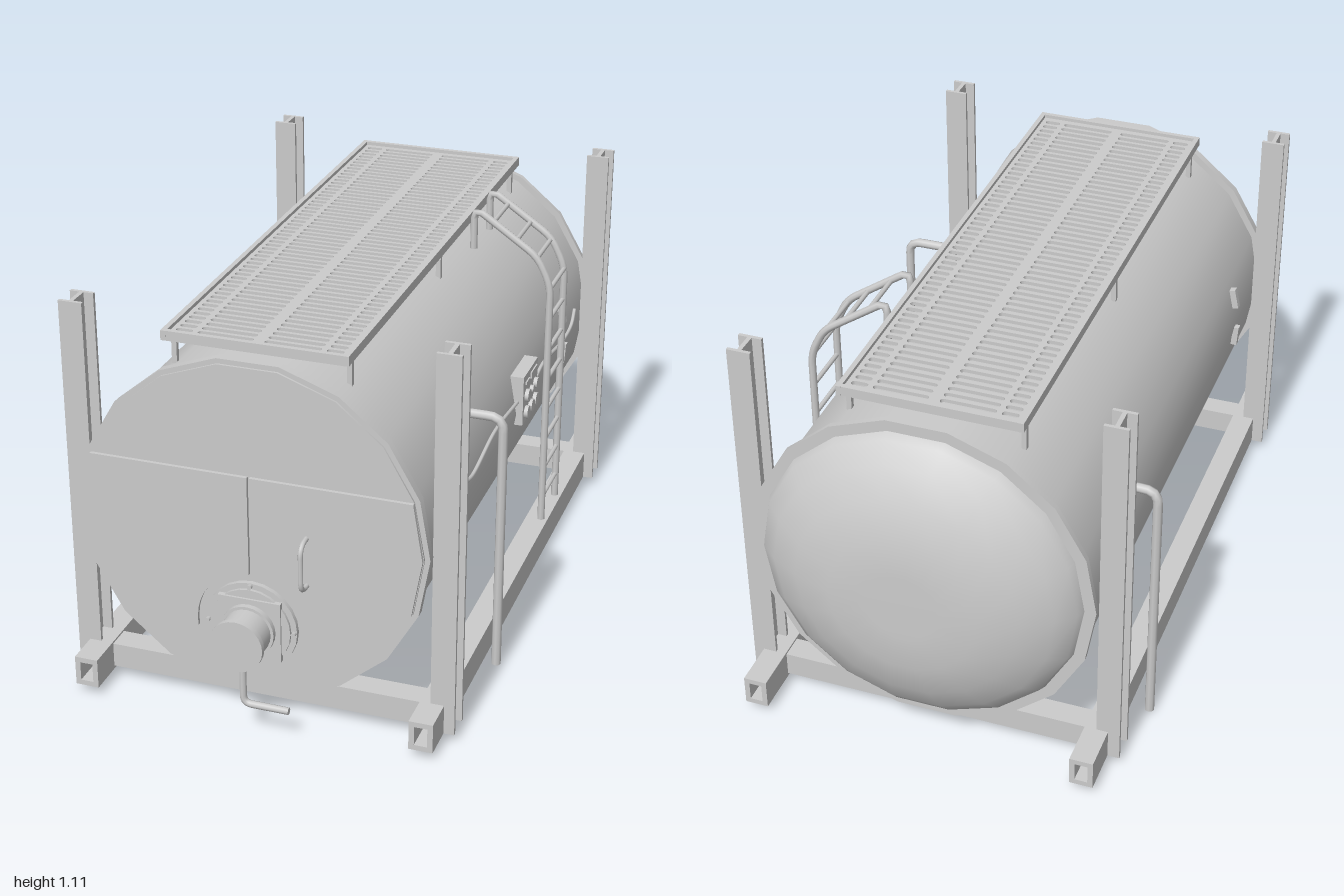
import * as THREE from 'three';
import { mergeGeometries } from 'three/addons/utils/BufferGeometryUtils.js';

const mat = new THREE.MeshStandardMaterial({ color: 0xcccccc });
const matDouble = new THREE.MeshStandardMaterial({ color: 0xcccccc, side: THREE.DoubleSide });
const V = (x, y, z) => new THREE.Vector3(x, y, z);
const CX = 0.006, CY = 0.562; // tank axis

export function createModel() {
  const root = new THREE.Group();
  root.name = 'tankContainer';

  const add = (name, geo, parent = root, m = mat) => {
    const mesh = new THREE.Mesh(geo, m);
    mesh.name = name;
    parent.add(mesh);
    return mesh;
  };
  const group = (name, parent = root) => {
    const g = new THREE.Group();
    g.name = name;
    parent.add(g);
    return g;
  };
  // box given by its limits
  const box = (name, x0, x1, y0, y1, z0, z1, parent) =>
    add(name, new THREE.BoxGeometry(x1 - x0, y1 - y0, z1 - z0)
      .translate((x0 + x1) / 2, (y0 + y1) / 2, (z0 + z1) / 2), parent);
  // disc or drum along z, from z0 to z1
  const drum = (name, r, z0, z1, parent, sides = 24, x = 0, y = 0) =>
    add(name, new THREE.CylinderGeometry(r, r, z1 - z0, sides, 1, false, Math.PI / 2)
      .rotateX(Math.PI / 2).translate(x, y, (z0 + z1) / 2), parent);
  // round bar through points, with rounded corners and closed ends
  const pipe = (name, pts, r, bend = 0.03, parent = root, segs = 48) => {
    const path = new THREE.CurvePath();
    let from = pts[0];
    for (let i = 1; i < pts.length - 1; i++) {
      const p = pts[i];
      const a = p.clone().add(pts[i - 1].clone().sub(p).setLength(bend));
      const b = p.clone().add(pts[i + 1].clone().sub(p).setLength(bend));
      path.add(new THREE.LineCurve3(from, a));
      path.add(new THREE.QuadraticBezierCurve3(a, p, b));
      from = b;
    }
    path.add(new THREE.LineCurve3(from, pts[pts.length - 1]));
    const n = pts.length > 2 ? segs : 1;
    const cap = t => {
      const q = new THREE.Quaternion().setFromUnitVectors(V(0, 0, 1),
        path.getTangentAt(t).multiplyScalar(t ? 1 : -1));
      const c = path.getPointAt(t);
      return new THREE.CircleGeometry(r, 8).applyQuaternion(q).translate(c.x, c.y, c.z);
    };
    return add(name, mergeGeometries([new THREE.TubeGeometry(path, n, r, 8), cap(0), cap(1)]), parent, matDouble);
  };
  const rect = (w, h) => new THREE.Shape([
    [-w / 2, -h / 2], [w / 2, -h / 2], [w / 2, h / 2], [-w / 2, h / 2]].map(p => new THREE.Vector2(...p)));

  // ---- tank shell, 18 sides
  const tank = group('tank');
  tank.position.set(CX, CY, 0);
  const lathe = (name, pts) => add(name, new THREE.LatheGeometry(
    pts.map(p => new THREE.Vector2(...p)), 18, Math.PI / 2).rotateX(Math.PI / 2), tank);
  lathe('shell', [[0.462, -0.85], [0.462, 0.86]]);
  lathe('rearDome', [[0, -1], [0.1, -1], [0.205, -0.997], [0.31, -0.965], [0.39, -0.922], [0.438, -0.88], [0.452, -0.845]]);
  drum('rearFlange', 0.48, -0.855, -0.838, tank, 18);
  drum('frontFlange', 0.482, 0.845, 0.87, tank, 18);
  drum('frontPlate', 0.468, 0.87, 0.876, tank, 18);

  // ---- front doors, cut out around the valve
  for (const s of [1, -1]) {
    const pts = [[0.003, 0.16], [0.44, 0.16], [0.466, 0], [0.438, -0.16], [0.358, -0.301], [0.15, -0.301]];
    for (let i = 0; i <= 10; i++) {
      const a = i / 10 * Math.PI / 2;
      pts.push([Math.max(0.003, 0.15 * Math.cos(a)), -0.272 + 0.15 * Math.sin(a)]);
    }
    add('door', new THREE.ExtrudeGeometry(new THREE.Shape(pts.map(p => new THREE.Vector2(s * p[0], p[1]))),
      { depth: 0.012, bevelEnabled: false }).translate(0, 0, 0.874), tank);
  }
  pipe('doorHandle', [V(0.157, 0.015, 0.88), V(0.157, 0.012, 0.93), V(0.157, -0.12, 0.93), V(0.157, -0.123, 0.88)],
    0.007, 0.03, tank);

  // ---- outlet valve and drain
  const valve = group('valve', tank);
  valve.position.set(0.002, -0.272, 0);
  drum('valveFlange', 0.128, 0.87, 0.889, valve);
  drum('valveCollar', 0.112, 0.885, 0.897, valve);
  box('valveBlock', -0.087, 0.087, -0.087, 0.087, 0.88, 0.903, valve);
  drum('valveNeck', 0.066, 0.9, 0.995, valve);
  drum('valveInnerLip', 0.074, 0.905, 0.92, valve);
  drum('valveOuterLip', 0.074, 0.985, 1, valve);
  for (let i = 0; i < 4; i++) {
    const a = i * Math.PI / 2;
    drum('bolt', 0.007, 0.885, 0.9, valve, 6, 0.12 * Math.cos(a), 0.12 * Math.sin(a));
  }
  pipe('drainPipe', [V(0, -0.05, 0.955), V(0, -0.196, 0.955), V(0.127, -0.196, 0.955)], 0.01, 0.025, valve);

  // ---- base frame: hollow rails, cross beams, I-section posts
  const frame = group('frame');
  const railShape = rect(0.066, 0.085);
  railShape.holes.push(rect(0.036, 0.055));
  for (const s of [1, -1]) {
    add('rail', new THREE.ExtrudeGeometry(railShape, { depth: 1.85, bevelEnabled: false })
      .translate(0.01 + s * 0.474, 0.068, -0.93), frame);
  }
  for (const z of [0.783, -0.76]) {
    box('crossBeam', -0.432, 0.452, 0.035, 0.105, z - 0.035, z + 0.035, frame);
    for (const s of [1, -1]) {
      const x = 0.008 + s * 0.505;
      box('postFlange', x - 0.033, x + 0.033, 0.025, 1.112, z + 0.03, z + 0.04, frame);
      box('postFlange', x - 0.033, x + 0.033, 0.025, 1.112, z - 0.04, z - 0.03, frame);
      box('postWeb', x - 0.006, x + 0.006, 0.025, 1.112, z - 0.031, z + 0.031, frame);
    }
  }

  // ---- roof walkway with slotted grating
  const walkway = group('walkway');
  for (const s of [1, -1]) {
    const x = -0.003 + s * 0.246;
    box('sideRim', x - 0.007, x + 0.007, 1.033, 1.06, -0.79, 0.805, walkway);
    const z = 0.0075 + s * 0.79;
    box('endRim', -0.256, 0.25, 1.033, 1.06, z - 0.007, z + 0.007, walkway);
    for (const lz of [-0.74, 0, 0.75])
      box('leg', -0.003 + s * 0.238 - 0.007, -0.003 + s * 0.238 + 0.007, 0.95, 1.035, lz - 0.007, lz + 0.007, walkway);
  }
  const grate = rect(0.49, 1.58);
  const rows = 54, pitch = 1.54 / rows, h = 0.009;
  for (let i = 0; i < rows; i++) {
    const y = (i + 0.5 - rows / 2) * pitch;
    for (const [x, w] of [[-0.204, 0.046], [-0.091, 0.152], [0.091, 0.152], [0.204, 0.046]]) {
      const e = w / 2 - h;
      const slot = new THREE.Path();
      slot.absarc(x + e, y, h, -Math.PI / 2, Math.PI / 2);
      slot.absarc(x - e, y, h, Math.PI / 2, Math.PI * 1.5);
      slot.closePath();
      grate.holes.push(slot);
    }
  }
  add('grating', new THREE.ExtrudeGeometry(grate, { depth: 0.01, bevelEnabled: false, curveSegments: 4 })
    .rotateX(-Math.PI / 2).translate(-0.003, 1.04, 0.0075), walkway);

  // ---- ladder on the left side, bent over the shoulder of the tank
  const ladder = group('ladder');
  const z0 = -0.25, z1 = -0.415;
  for (const z of [z0, z1])
    pipe('ladderRail', [V(0.264, 0.96, z), V(0.264, 1.085, z), V(0.455, 0.955, z), V(0.496, 0.87, z), V(0.496, 0.11, z)],
      0.011, 0.035, ladder, 64);
  const rungs = [[0.32, 1.045], [0.39, 0.998], [0.452, 0.95]];
  for (let i = 0; i < 8; i++) rungs.push([0.496, 0.185 + i * 0.097]);
  for (const [x, y] of rungs) pipe('rung', [V(x, y, z0), V(x, y, z1)], 0.007, 0, ladder);

  // ---- vent pipes, one on each side
  for (const [s, z] of [[-1, -0.56], [1, 0.41]])
    pipe('ventPipe', [V(s * 0.544, 0, z), V(s * 0.544, 0.759, z), V(s * 0.405, 0.759, z)], 0.0135, 0.04);

  // ---- small brackets on both flanks
  for (const s of [1, -1]) for (const z of [0.575, -0.555]) for (const y of [0.098, -0.032]) {
    const x = 0.466 * Math.cos(Math.asin(y / 0.466));
    const b = add('bracket', new THREE.BoxGeometry(0.018, 0.062, 0.02), tank);
    b.position.set(s * x, y, z);
    b.rotation.z = s * Math.asin(y / 0.466);
  }

  // ---- cable along the left flank
  const cable = [[0.7, 0.615], [0.66, 0.588], [0.545, 0.608], [0.44, 0.59], [0.225, 0.619], [0, 0.603], [-0.18, 0.586],
    [-0.31, 0.6], [-0.55, 0.571], [-0.66, 0.583], [-0.69, 0.62]];
  add('cable', new THREE.TubeGeometry(new THREE.CatmullRomCurve3(cable.map(([z, y]) => V(0.47, y, z))), 80, 0.006, 6),
    root, matDouble);

  // ---- control box with dials
  const control = group('controlBox');
  box('case', 0.435, 0.487, 0.53, 0.68, -0.17, -0.015, control);
  box('labelPlate', 0.48, 0.491, 0.65, 0.658, -0.075, -0.035, control);
  box('display', 0.48, 0.491, 0.645, 0.665, -0.155, -0.09, control);
  for (const [z, y, r] of [[-0.048, 0.613, 0.019], [-0.095, 0.613, 0.011], [-0.14, 0.613, 0.016],
    [-0.045, 0.562, 0.019], [-0.092, 0.562, 0.019], [-0.139, 0.562, 0.019]])
    add('dial', new THREE.CylinderGeometry(r, r, 0.018, 12).rotateZ(Math.PI / 2).translate(0.489, y, z), control);

  return root;
}
